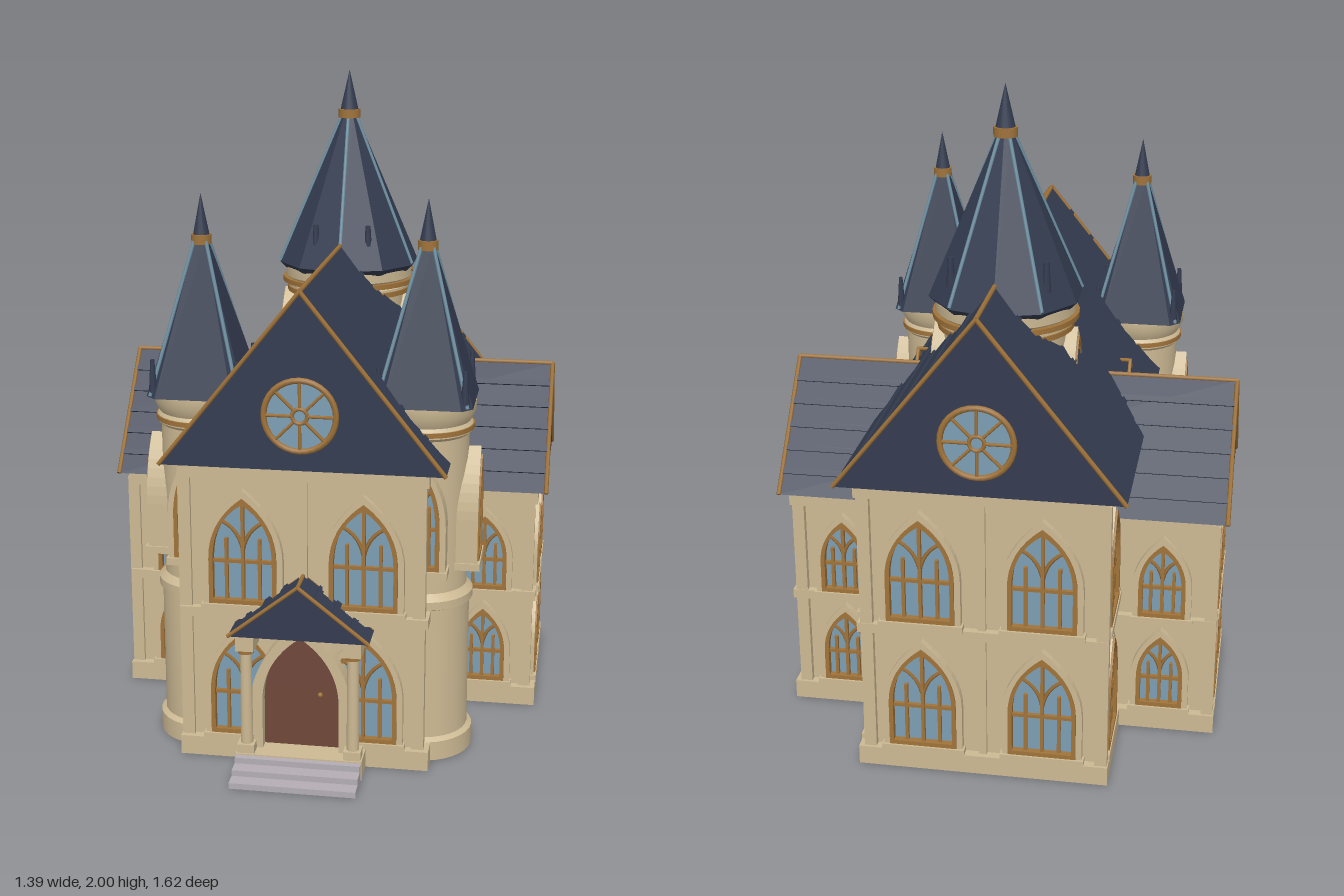
import * as THREE from 'three';
import { toCreasedNormals } from 'three/addons/utils/BufferGeometryUtils.js';

const mat = (name, color) => {
  const m = new THREE.MeshStandardMaterial({ color });
  m.name = name;
  return m;
};
const stone = mat('stone', 0xcdba94), slate = mat('slate', 0x343c50), gold = mat('gold', 0xa0733a);
const glass = mat('glass', 0x7d9fb5), wood = mat('wood', 0x70483a), stepGrey = mat('step grey', 0xb4aeb4);
const ridgeBlue = mat('ridge blue', 0x6b8ea0);

const V = (x, y, z) => new THREE.Vector3(x, y, z);

function add(parent, name, geo, material, x = 0, y = 0, z = 0) {
  const m = new THREE.Mesh(geo, material);
  m.name = name;
  m.position.set(x, y, z);
  parent.add(m);
  return m;
}

function group(parent, name, x = 0, y = 0, z = 0, ry = 0) {
  const g = new THREE.Group();
  g.name = name;
  g.position.set(x, y, z);
  g.rotation.y = ry;
  parent.add(g);
  return g;
}

// Box given by its extents
function block(parent, name, material, x0, x1, y0, y1, z0, z1) {
  return add(parent, name, new THREE.BoxGeometry(x1 - x0, y1 - y0, z1 - z0), material,
    (x0 + x1) / 2, (y0 + y1) / 2, (z0 + z1) / 2);
}

// Round bar between two points
function rod(parent, name, material, p, q, r) {
  const m = add(parent, name, new THREE.CylinderGeometry(r, r, p.distanceTo(q), 6), material);
  m.position.copy(p).lerp(q, 0.5);
  m.quaternion.setFromUnitVectors(V(0, 1, 0), q.clone().sub(p).normalize());
}

// Pointed arch outline, grown by t on every side
function arch(w, h, t = 0, base = t, P = THREE.Shape) {
  const s = h * 0.42, s2 = new P();
  s2.moveTo(-w - t, -base);
  s2.lineTo(w + t, -base);
  s2.lineTo(w + t, s);
  s2.quadraticCurveTo(w + t, s + (h - s) * 0.62, 0, h + t * 1.4);
  s2.quadraticCurveTo(-w - t, s + (h - s) * 0.62, -w - t, s);
  return s2;
}

function archRing(w, h, outer, inner, depth) {
  const s = arch(w, h, outer);
  s.holes.push(arch(w, h, inner, inner, THREE.Path));
  return new THREE.ExtrudeGeometry(s, { depth, bevelEnabled: false, curveSegments: 8 });
}

// Gothic window facing +z with its sill at y = 0
function gothicWindow(parent, x, y, z, ry, w, h, back = 0.01) {
  const g = group(parent, 'gothicWindow', x, y, z, ry);
  add(g, 'glass', new THREE.ShapeGeometry(arch(w, h), 8), glass, 0, 0, 0.006);
  add(g, 'stoneSurround', archRing(w, h, 0.02, 0, back + 0.022), stone, 0, 0, -back);
  add(g, 'goldFrame', archRing(w, h, 0.002, -0.011, 0.024), gold, 0, 0, 0.003);
  block(g, 'sill', stone, -w - 0.026, w + 0.026, -0.026, -0.004, -back, 0.03);
  const b = 0.005;
  block(g, 'mullion', gold, -b, b, 0, h - 0.01, 0.004, 0.02);
  block(g, 'transom', gold, -w, w, h * 0.4 - b, h * 0.4 + b, 0.004, 0.018);
  for (const s of [-1, 1]) {
    block(g, 'sideMullion', gold, s * w * 0.5 - b, s * w * 0.5 + b, 0, h * 0.62, 0.004, 0.018);
    const c = new THREE.QuadraticBezierCurve3(V(0, h * 0.5, 0.012), V(s * w * 0.1, h * 0.7, 0.012), V(s * w * 0.62, h * 0.78, 0.012));
    add(g, 'tracery', new THREE.TubeGeometry(c, 6, 0.006, 4), gold);
  }
}

// Solid gable roof with its ridge along z
function gableRoof(parent, hw, y0, y1, z0, z1, battens, trim = 0.007) {
  const g = group(parent, 'gableRoof');
  const tri = new THREE.Shape([new THREE.Vector2(-hw, y0), new THREE.Vector2(hw, y0), new THREE.Vector2(0, y1)]);
  add(g, 'slateRoof', new THREE.ExtrudeGeometry(tri, { depth: z1 - z0, bevelEnabled: false }), slate, 0, 0, z0);
  rod(g, 'ridge', gold, V(0, y1, z0), V(0, y1, z1), trim);
  const a = Math.atan2(y1 - y0, hw);
  for (const s of [-1, 1]) {
    for (const z of [z0, z1]) rod(g, 'verge', gold, V(s * hw, y0, z), V(0, y1, z), trim);
    for (let i = 1; i <= battens; i++) {
      const t = i / (battens + 1);
      const m = block(g, 'batten', slate, -0.009, 0.009, -0.006, 0.006, z0 + 0.004, z1 - 0.004);
      m.position.set(s * hw * (1 - t), y0 + (y1 - y0) * t, (z0 + z1) / 2);
      m.rotation.z = -s * a;
    }
  }
}

// Wheel window facing +z
function roseWindow(parent, y, z, ry) {
  const g = group(parent, 'roseWindow', 0, y, z, ry);
  add(g, 'roseGlass', new THREE.CircleGeometry(0.105, 32), glass, 0, 0, 0.004);
  add(g, 'roseRing', new THREE.TorusGeometry(0.105, 0.009, 6, 32), gold, 0, 0, 0.005);
  add(g, 'roseHub', new THREE.TorusGeometry(0.022, 0.006, 6, 16), gold, 0, 0, 0.006);
  for (let i = 0; i < 8; i++) {
    const c = Math.cos(i * Math.PI / 4), s = Math.sin(i * Math.PI / 4);
    rod(g, 'roseSpoke', gold, V(c * 0.02, s * 0.02, 0.006), V(c * 0.1, s * 0.1, 0.006), 0.005);
  }
}

function lathe(parent, name, pts, material) {
  const geo = new THREE.LatheGeometry(pts.map(p => new THREE.Vector2(...p)), 32);
  return add(parent, name, toCreasedNormals(geo, 0.5), material);
}

function finial(parent, y, top, r) {
  add(parent, 'finialRing', new THREE.CylinderGeometry(r, r, 0.028, 16), gold, 0, y, 0);
  add(parent, 'finialTip', new THREE.ConeGeometry(r * 0.9, top - y, 16), slate, 0, (top + y) / 2, 0);
}

function frontTower(parent, x, z) {
  const g = group(parent, 'frontTower', x, 0, z);
  lathe(g, 'towerWall', [[0, 0], [0.155, 0], [0.155, 0.06], [0.14, 0.07], [0.14, 0.48], [0.15, 0.485], [0.15, 0.51],
    [0.131, 0.53], [0.131, 1.0], [0.142, 1.01], [0.142, 1.03], [0.135, 1.04], [0.15, 1.07], [0.15, 1.1], [0, 1.1]], stone);
  add(g, 'goldBand', new THREE.CylinderGeometry(0.146, 0.146, 0.014, 32), gold, 0, 1.022, 0);
  for (let i = 0; i < 4; i++) {
    const a = i * Math.PI / 2;
    gothicWindow(g, Math.sin(a) * 0.145, 0.62, Math.cos(a) * 0.145, a, 0.06, 0.31, 0.045);
  }
  // Pyramid roof with clipped corners
  const geo = new THREE.CylinderGeometry(0.024, 0.178, 0.45, 8, 1).rotateY(Math.PI / 8).toNonIndexed();
  const p = geo.attributes.position;
  for (let i = 0; i < p.count; i++) {
    const k = (0.225 - p.getY(i)) / 0.45, lim = 0.018 + 0.13 * k, cut = 0.016 + 0.1 * k;
    const X = p.getX(i), Z = p.getZ(i), big = Math.abs(X) > Math.abs(Z);
    if (Math.hypot(X, Z) > 0.001) p.setXYZ(i, Math.sign(X) * (big ? lim : cut), p.getY(i), Math.sign(Z) * (big ? cut : lim));
  }
  geo.computeVertexNormals();
  add(g, 'towerRoof', geo, slate, 0, 1.325, 0);
  for (const sx of [-1, 1]) for (const sz of [-1, 1]) {
    rod(g, 'roofRidge', ridgeBlue, V(sx * 0.133, 1.105, sz * 0.133), V(sx * 0.018, 1.55, sz * 0.018), 0.006);
    add(g, 'cornerPinnacle', new THREE.CylinderGeometry(0.006, 0.013, 0.1, 8), slate, sx * 0.125, 1.165, sz * 0.125);
  }
  finial(g, 1.555, 1.69, 0.03);
}

function mainSpire(parent) {
  const g = group(parent, 'mainSpire', 0, 0, -0.31);
  lathe(g, 'drum', [[0, 1.0], [0.185, 1.0], [0.185, 1.28], [0.2, 1.29], [0.2, 1.3], [0.19, 1.31], [0.21, 1.33], [0.21, 1.36], [0, 1.36]], stone);
  for (const [y, r] of [[1.285, 0.205], [1.317, 0.22]])
    add(g, 'goldBand', new THREE.CylinderGeometry(r, r, 0.016, 32), gold, 0, y, 0);
  for (const s of [-1, 1]) gothicWindow(g, s * 0.195, 1.08, 0, s * Math.PI / 2, 0.055, 0.17, 0.04);
  const facet = (rt, rb, y0, y1) => {
    const m = add(g, 'spireRoof', new THREE.CylinderGeometry(rt, rb, y1 - y0, 10).toNonIndexed(), slate, 0, (y0 + y1) / 2, 0);
    m.geometry.computeVertexNormals();
  };
  facet(0.232, 0.212, 1.355, 1.375);
  facet(0.026, 0.232, 1.375, 1.85);
  for (let i = 0; i < 5; i++) {
    const a = i * Math.PI * 0.4, c = Math.cos(a), s = Math.sin(a);
    rod(g, 'spireRidge', ridgeBlue, V(s * 0.23, 1.38, c * 0.23), V(s * 0.028, 1.845, c * 0.028), 0.006);
  }
  for (const [x, z] of [[0.14, -0.13], [0.085, 0.16]]) for (const s of [-1, 1])
    add(g, 'roofPinnacle', new THREE.CylinderGeometry(0.008, 0.014, 0.09, 8), slate, s * x, 1.47, z);
  finial(g, 1.86, 2.0, 0.036);
}

// Walls with plinth, floor band, cornice and corner piers
function wing(parent, name, hx, z0, z1, top, band) {
  const g = group(parent, name);
  const ring = (n, y0, y1, o) => block(g, n, stone, -hx - o, hx + o, y0, y1, z0 - o, z1 + o);
  ring('wall', 0, top, 0);
  ring('plinth', 0, 0.06, 0.028);
  ring('floorBand', band, band + 0.03, 0.022);
  ring('cornice', top - 0.045, top - 0.001, 0.02);
  for (const x of [-hx, hx]) for (const z of [z0, z1])
    block(g, 'cornerPier', stone, x - 0.025, x + 0.012, 0, top - 0.02, z - 0.02, z + 0.012);
  return g;
}

function porch(parent) {
  const g = group(parent, 'porch');
  const wall = arch(0.115, 0.36, 0.035, 0);
  wall.holes.push(arch(0.115, 0.36, 0, 0, THREE.Path));
  add(g, 'doorSurround', new THREE.ExtrudeGeometry(wall, { depth: 0.07, bevelEnabled: false }), stone, 0, 0.06, 0.585);
  add(g, 'door', new THREE.ExtrudeGeometry(arch(0.115, 0.36, 0, 0), { depth: 0.03, bevelEnabled: false }), wood, 0, 0.06, 0.59);
  add(g, 'doorKnob', new THREE.SphereGeometry(0.008, 8, 6), gold, 0.055, 0.23, 0.625);
  block(g, 'porchFloor', stone, -0.19, 0.19, 0, 0.058, 0.58, 0.7);
  for (const s of [-1, 1]) {
    add(g, 'porchColumn', new THREE.CylinderGeometry(0.017, 0.019, 0.36, 16), stone, s * 0.16, 0.24, 0.67);
    block(g, 'columnBase', stone, s * 0.16 - 0.026, s * 0.16 + 0.026, 0.058, 0.085, 0.645, 0.695);
    block(g, 'columnCapital', stone, s * 0.16 - 0.027, s * 0.16 + 0.027, 0.385, 0.43, 0.59, 0.695);
    add(g, 'capitalRing', new THREE.CylinderGeometry(0.024, 0.024, 0.012, 16), gold, s * 0.16, 0.38, 0.67);
  }
  gableRoof(g, 0.21, 0.43, 0.595, 0.58, 0.695, 3, 0.006);
  for (let i = 0; i < 3; i++)
    block(g, 'step', stepGrey, -0.188, 0.188, 0, 0.018 * (i + 1), 0.68, 0.81 - i * 0.045);
}

export function createModel() {
  const root = new THREE.Group();
  root.name = 'manor';

  // Main hall, front and back alike
  wing(root, 'mainHall', 0.35, -0.745, 0.585, 0.93, 0.45);
  gableRoof(root, 0.42, 0.93, 1.455, -0.795, 0.635, 5);
  roseWindow(root, 1.095, 0.636, 0);
  roseWindow(root, 1.095, -0.796, Math.PI);
  for (const z of [0.585, -0.745]) {
    block(root, 'centrePier', stone, -0.012, 0.012, 0.06, 0.9, z - 0.012, z + 0.012);
    for (const x of [-0.18, 0.18]) for (const y of [0.08, 0.5])
      gothicWindow(root, x, y, z, z > 0 ? 0 : Math.PI, 0.1, 0.325);
  }

  // Cross wing
  const t0 = -0.415, t1 = 0.085, tz = -0.165;
  wing(root, 'crossWing', 0.645, t0, t1, 0.73, 0.36);
  const crossRoof = group(root, 'crossRoof', 0, 0, tz, Math.PI / 2);
  gableRoof(crossRoof, 0.295, 0.73, 1.08, -0.69, 0.69, 5);

  for (const s of [-1, 1]) {
    const ry = s * Math.PI / 2;
    for (const y of [0.08, 0.5]) for (const z of [-0.605, 0.12])
      gothicWindow(root, s * 0.35, y, z, ry, 0.1, 0.325);
    for (const y of [0.08, 0.395]) {
      for (const z of [-0.12, 0.12]) gothicWindow(root, s * 0.645, y, tz + z, ry, 0.07, 0.24);
      gothicWindow(root, s * 0.5, y, t1, 0, 0.07, 0.24);
      gothicWindow(root, s * 0.5, y, t0, Math.PI, 0.07, 0.24);
    }
    // Small gilded roof vent
    for (const d of [-1, 1])
      rod(root, 'roofVent', gold, V(s * 0.345, 1.025, 0.012 + d * 0.028), V(s * 0.345, 1.06, 0.012), 0.006);
    rod(root, 'roofVentRidge', gold, V(s * 0.31, 1.06, 0.012), V(s * 0.35, 1.06, 0.012), 0.006);
    frontTower(root, s * 0.335, 0.395);
  }

  mainSpire(root);
  porch(root);
  return root;
}
